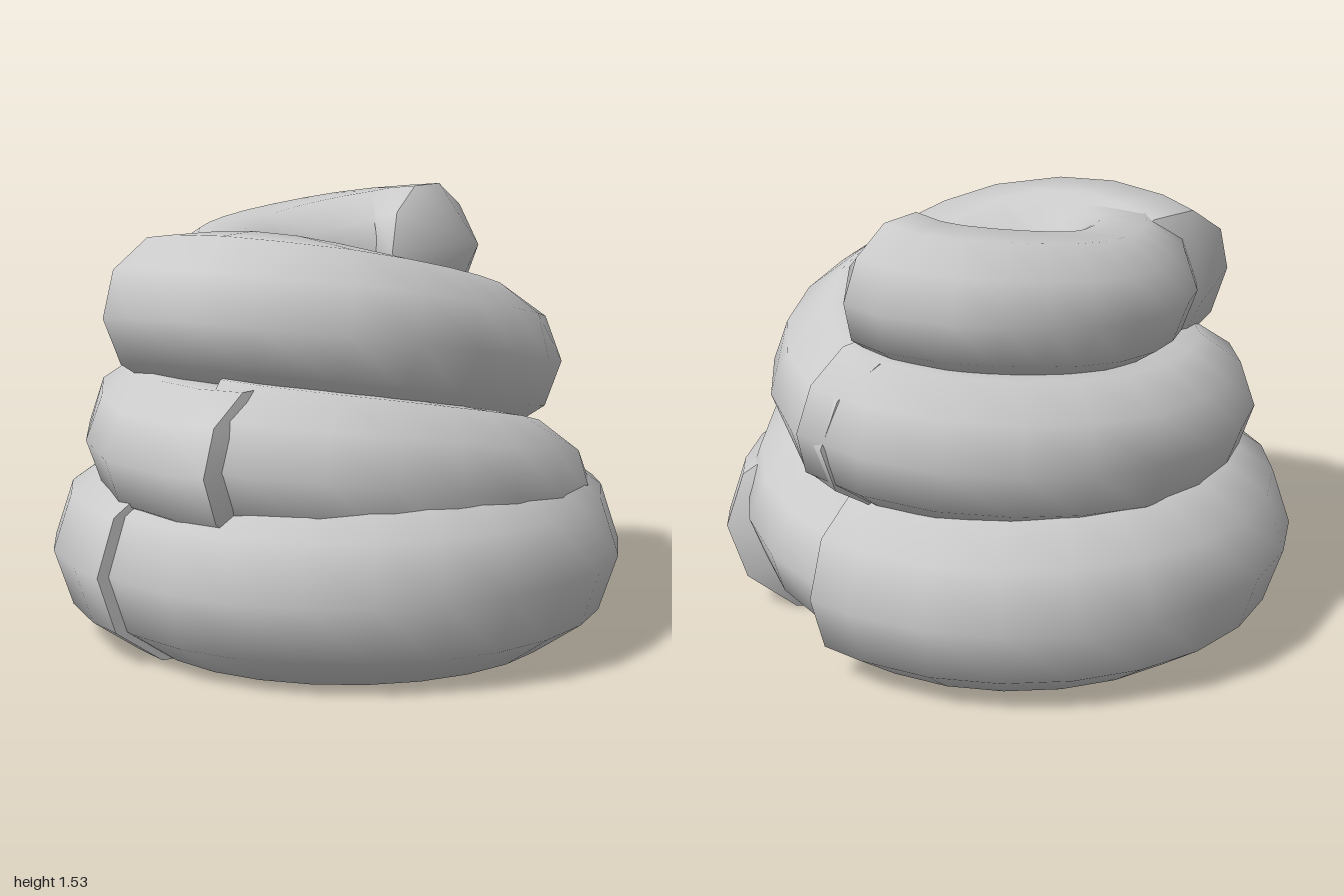
import * as THREE from 'three';

const SIDES = 10;
const STEPS = 12;
const UP = new THREE.Vector3(0, 1, 0);

// Points on a level arc, angle in degrees from +x towards +z
function arc(cx, cy, cz, radius, from, to, n = 8) {
  return Array.from({ length: n + 1 }, (_, i) => {
    const a = THREE.MathUtils.degToRad(from + ((to - from) * i) / n);
    return [cx + radius * Math.cos(a), cy, cz + radius * Math.sin(a)];
  });
}

// Sweeps an upright oval along a path and closes both ends with shallow cones
function coil(name, points, halfWidth, halfHeight, startTip, endTip) {
  const curve = new THREE.CatmullRomCurve3(points.map((p) => new THREE.Vector3(...p)));
  const pos = [];
  const index = [];
  const push = (v) => pos.push(v.x, Math.max(0, v.y), v.z) / 3 - 1;

  const ring = (t) => {
    const center = curve.getPointAt(t);
    const tangent = curve.getTangentAt(t);
    const side = new THREE.Vector3().crossVectors(tangent, UP).normalize();
    const lift = new THREE.Vector3().crossVectors(side, tangent);
    const verts = [];
    for (let j = 0; j < SIDES; j++) {
      const a = (j / SIDES) * Math.PI * 2;
      verts.push(center.clone()
        .addScaledVector(side, Math.cos(a) * halfWidth)
        .addScaledVector(lift, Math.sin(a) * halfHeight));
    }
    return { center, tangent, verts };
  };

  // Tube wall
  for (let i = 0; i <= STEPS; i++) ring(i / STEPS).verts.forEach(push);
  for (let i = 0; i < STEPS; i++) {
    for (let j = 0; j < SIDES; j++) {
      const k = (j + 1) % SIDES;
      const a = i * SIDES + j, b = a + SIDES;
      const c = i * SIDES + k, d = c + SIDES;
      index.push(a, b, c, b, d, c);
    }
  }

  // Pointed end caps, with their own rim so the edge stays crisp
  for (const [t, tip] of [[0, -startTip], [1, endTip]]) {
    const { center, tangent, verts } = ring(t);
    const base = pos.length / 3;
    verts.forEach(push);
    const apex = push(center.addScaledVector(tangent, tip));
    for (let j = 0; j < SIDES; j++) {
      const a = base + j, b = base + ((j + 1) % SIDES);
      if (t === 0) index.push(apex, a, b);
      else index.push(apex, b, a);
    }
  }

  const geometry = new THREE.BufferGeometry();
  geometry.setAttribute('position', new THREE.Float32BufferAttribute(pos, 3));
  geometry.setIndex(index);
  geometry.computeVertexNormals();
  const mesh = new THREE.Mesh(geometry, new THREE.MeshStandardMaterial({ color: 0xcccccc }));
  mesh.name = name;
  return mesh;
}

export function createModel() {
  const group = new THREE.Group();
  group.name = 'coiledPile';

  group.add(
    // Bottom ring: two level half coils
    coil('bottomCoilLeft', arc(0.03, 0.315, -0.03, 0.63, -62, 105), 0.34, 0.335, 0.18, 0.02),
    coil('bottomCoilRight', arc(-0.03, 0.315, 0, 0.635, 88, 267), 0.34, 0.335, 0.01, 0.06),

    // Middle ring: a rising half, then a nearly level half
    coil('middleCoilLeft', [
      [-0.25, 0.32, -0.6], [0, 0.36, -0.65], [0.28, 0.42, -0.58], [0.5, 0.52, -0.35],
      [0.555, 0.61, 0], [0.4, 0.69, 0.4], [0.12, 0.72, 0.58],
    ], 0.295, 0.27, 0.1, 0.08),
    coil('middleCoilRight', [
      [0.31, 0.7, 0.57], [0, 0.695, 0.63], [-0.35, 0.735, 0.46], [-0.56, 0.77, 0],
      [-0.42, 0.82, -0.45], [-0.2, 0.86, -0.64], [-0.03, 0.88, -0.675],
    ], 0.285, 0.265, 0.08, 0.04),

    // Upper ring: rises from the back to a blunt end at the front
    coil('upperCoilLeft', [
      [-0.22, 0.85, -0.63], [0, 0.87, -0.61], [0.27, 0.95, -0.42], [0.385, 1.07, 0],
      [0.28, 1.15, 0.33], [0, 1.17, 0.48], [-0.27, 1.14, 0.485],
    ], 0.305, 0.272, 0.08, 0.18),

    // Top half coil ending in the pointed tip
    coil('topCoil', [
      [0, 1.17, 0.42], [-0.25, 1.18, 0.3], [-0.425, 1.21, 0],
      [-0.37, 1.26, -0.33], [-0.23, 1.29, -0.515], [-0.09, 1.305, -0.55],
    ], 0.26, 0.24, 0.03, 0.2),
  );
  return group;
}
